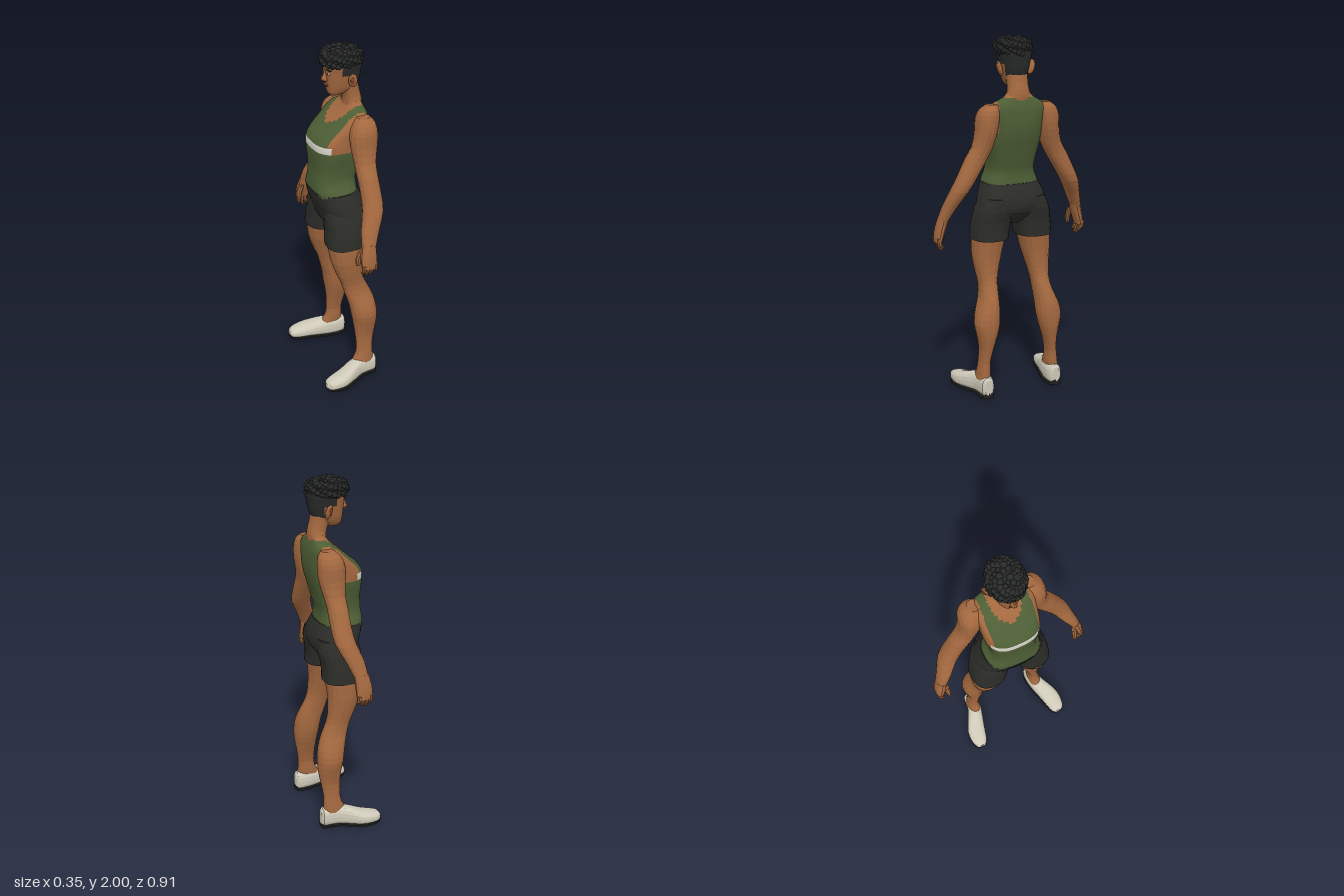
import * as THREE from 'three';
import { mergeGeometries } from 'three/addons/utils/BufferGeometryUtils.js';

const mat = (name, color) => Object.assign(new THREE.MeshStandardMaterial({ color }), { name });
const SKIN = mat('skin', 0xa3683f), GREEN = mat('greenTop', 0x4d5e35), BLACK = mat('shorts', 0x2c2d29);
const HAIR = mat('hair', 0x292a2a), SHOE = mat('shoe', 0xcfcab9), SOLE = mat('sole', 0x20211f);
const WHITE = mat('stripe', 0xd8d5ca), LIP = mat('lips', 0x83482f);

// faceted normals
function facet(g) {
  const f = g.index ? g.toNonIndexed() : g;
  f.computeVertexNormals();
  return f;
}

// smooth interpolation between rows of numbers
function refine(rows, sub) {
  const out = [];
  for (let i = 0; i < rows.length - 1; i++) {
    const p = rows[Math.max(i - 1, 0)], a = rows[i], b = rows[i + 1], q = rows[Math.min(i + 2, rows.length - 1)];
    for (let k = 0; k < sub; k++) {
      const t = k / sub;
      out.push(a.map((v, j) => {
        if (j === 0) return v + (b[0] - v) * t;
        const m0 = (b[j] - p[j]) / (b[0] - p[0]) * (b[0] - v0(a)), m1 = (q[j] - v) / (q[0] - v0(a)) * (b[0] - v0(a));
        const t2 = t * t, t3 = t2 * t;
        return (2 * t3 - 3 * t2 + 1) * v + (t3 - 2 * t2 + t) * m0 + (3 * t2 - 2 * t3) * b[j] + (t3 - t2) * m1;
      }));
    }
  }
  out.push(rows[rows.length - 1]);
  return out;
}
const v0 = (row) => row[0];

// loft of rounded sections; row = [station, min, max, zMin, zMax], station along y or x
function loft(name, rows, material, { axis = 'y', e = 2.2, n = 16, sub = 2, paint } = {}) {
  const sorted = [...rows].sort((a, b) => a[0] - b[0]);
  const pw = (v) => Math.sign(v) * Math.abs(v) ** (2 / e);
  const rings = refine(sorted, sub).map(([s, a0, a1, z0, z1]) => Array.from({ length: n }, (_, i) => {
    const t = ((i + 0.5) / n) * Math.PI * 2;
    const u = (a0 + a1) / 2 + (a1 - a0) / 2 * pw(Math.cos(t));
    const w = (z0 + z1) / 2 + (z1 - z0) / 2 * pw(Math.sin(t)) * (axis === 'x' ? -1 : 1);
    return axis === 'x' ? new THREE.Vector3(s, u, w) : new THREE.Vector3(u, s, w);
  }));
  const mats = [].concat(material), buckets = mats.map(() => []);
  const tri = (m, ...pts) => pts.forEach((p) => buckets[m].push(p.x, p.y, p.z));
  const mid = (pts) => pts.reduce((s, p) => s.add(p), new THREE.Vector3()).divideScalar(pts.length);
  for (let r = 0; r < rings.length - 1; r++) for (let i = 0; i < n; i++) {
    const j = (i + 1) % n, a = rings[r][i], b = rings[r + 1][i], c = rings[r + 1][j], d = rings[r][j];
    const m = paint ? paint(mid([a, b, c, d])) : 0;
    tri(m, a, b, c); tri(m, a, c, d);
  }
  const bottom = rings[0], top = rings[rings.length - 1], cb = mid(bottom), ct = mid(top);
  for (let i = 0; i < n; i++) {
    const j = (i + 1) % n;
    tri(paint ? paint(cb) : 0, cb, bottom[i], bottom[j]);
    tri(paint ? paint(ct) : 0, ct, top[j], top[i]);
  }
  const g = new THREE.BufferGeometry();
  g.setAttribute('position', new THREE.Float32BufferAttribute(buckets.flat(), 3));
  let start = 0;
  buckets.forEach((b, m) => { g.addGroup(start, b.length / 3, m); start += b.length / 3; });
  g.computeVertexNormals();
  const mesh = new THREE.Mesh(g, mats.length > 1 ? mats : mats[0]);
  mesh.name = name;
  return mesh;
}

// symmetric rows [y, x0, x1, halfWidth], and mirrored rows for one side
const sym = (rows) => rows.map(([y, a, b, w]) => [y, a, b, -w, w]);
const side = (rows, s) => rows.map(([y, a, b, z0, z1]) => (s > 0 ? [y, a, b, z0, z1] : [y, a, b, -z1, -z0]));

function blob(name, material, pos, scale, rot = [0, 0, 0], detail = 2) {
  const m = new THREE.Mesh(facet(new THREE.IcosahedronGeometry(1, detail)), material);
  m.position.set(...pos); m.scale.set(...scale); m.rotation.set(...rot); m.name = name;
  return m;
}

function torsoPaint({ x, y, z }) {
  const w = Math.abs(z);
  if (y > 1.68 || (x < 0.1 && (z / 0.085) ** 2 + ((y - 1.685) / 0.1) ** 2 < 1)) return 1; // neckline
  if (y > 1.49 && w > 0.128 && x > -0.1) return 1; // armholes
  if (y > 1.455 && y < 1.492 && w > 0.128 && x > -0.085 && x < 0.11) return 1;
  if (y > 1.455 && y < 1.492 && x < -0.085) return 2; // chest stripe
  return 0;
}

function makeHead() {
  const head = new THREE.Group();
  head.name = 'head';
  head.add(loft('neck', sym([[1.62, 0.03, 0.14, 0.08], [1.68, 0.05, 0.148, 0.072], [1.72, 0.045, 0.145, 0.06],
    [1.76, 0.03, 0.135, 0.058], [1.81, 0.02, 0.125, 0.06]]), SKIN));
  head.add(loft('skull', sym([[1.735, -0.025, 0.04, 0.026], [1.75, -0.038, 0.07, 0.043], [1.78, -0.044, 0.115, 0.06],
    [1.82, -0.049, 0.135, 0.07], [1.87, -0.053, 0.145, 0.079], [1.92, -0.055, 0.15, 0.086], [1.95, -0.03, 0.13, 0.07]]),
  [SKIN, HAIR], { e: 2.4, n: 32, sub: 3,
    paint: ({ x, y }) => (y > 1.905 || (x > 0.075 && y > 1.775) || (x > 0.02 && y > 1.86) ? 1 : 0) }));
  head.add(loft('nose', sym([[1.816, -0.064, -0.03, 0.013], [1.828, -0.078, -0.03, 0.017],
    [1.85, -0.067, -0.03, 0.01], [1.878, -0.057, -0.03, 0.008]]), SKIN, { n: 10 }));
  head.add(blob('lips', LIP, [-0.047, 1.795, 0], [0.009, 0.008, 0.022], [0, 0, 0], 1));
  for (const s of [1, -1]) {
    head.add(blob('eye', WHITE, [-0.046, 1.862, s * 0.03], [0.006, 0.007, 0.013], [0, 0, 0], 1));
    head.add(blob('iris', HAIR, [-0.05, 1.862, s * 0.03], [0.004, 0.006, 0.006], [0, 0, 0], 1));
    head.add(blob('eyebrow', HAIR, [-0.047, 1.884, s * 0.034], [0.007, 0.005, 0.022], [0, s * 0.25, 0], 1));
    head.add(blob('ear', SKIN, [0.062, 1.832, s * 0.093], [0.024, 0.042, 0.014], [s * 0.3, s * -0.45, 0.12]));
    head.add(blob('earHollow', LIP, [0.055, 1.836, s * 0.104], [0.011, 0.022, 0.006], [s * 0.3, s * -0.45, 0.12], 1));
  }
  // curly crown: many small lumps spread over a flattened dome
  const curls = [], count = 150;
  const dome = new THREE.IcosahedronGeometry(1, 3);
  dome.scale(0.105, 0.056, 0.09); dome.translate(0.037, 1.933, 0);
  curls.push(dome);
  for (let i = 0; i < count; i++) {
    const h = 1 - (i + 0.5) / count * 1.45, r = Math.sqrt(1 - h * h), a = i * 2.39996;
    const size = 0.0145 + 0.004 * Math.sin(i * 7.3);
    const c = new THREE.IcosahedronGeometry(size, 1);
    c.scale(1.15, 0.85, 1); c.rotateY(i * 1.7);
    const f = r ** 0.75;
    c.translate(0.037 + 0.106 * f * Math.cos(a), 1.933 + 0.053 * Math.sign(h) * Math.abs(h) ** 0.8, 0.089 * f * Math.sin(a));
    curls.push(c);
  }
  const hair = new THREE.Mesh(facet(mergeGeometries(curls)), HAIR);
  hair.name = 'curlyHair';
  head.add(hair);
  return head;
}

function makeArm(s) {
  const arm = new THREE.Group();
  arm.name = s > 0 ? 'armPlusZ' : 'armMinusZ';
  arm.add(loft('armAndShoulder', side([[1.648, 0.06, 0.13, 0.12, 0.185], [1.62, 0.03, 0.152, 0.115, 0.222],
    [1.57, 0.01, 0.16, 0.115, 0.241], [1.5, 0.01, 0.156, 0.128, 0.245], [1.42, 0.02, 0.138, 0.15, 0.264],
    [1.36, 0.02, 0.13, 0.18, 0.302], [1.27, 0.02, 0.13, 0.235, 0.347], [1.19, 0.01, 0.122, 0.285, 0.385],
    [1.1, -0.02, 0.08, 0.34, 0.417], [1.03, -0.03, 0.05, 0.378, 0.438]], s), SKIN));
  arm.add(loft('palm', side([[1.04, -0.03, 0.05, 0.376, 0.436], [0.98, -0.044, 0.046, 0.393, 0.452],
    [0.93, -0.046, 0.045, 0.412, 0.458], [0.905, -0.04, 0.042, 0.42, 0.457]], s), SKIN, { n: 12 }));
  [-0.033, -0.011, 0.011, 0.033].forEach((x, i) => {
    const tip = [0.872, 0.857, 0.86, 0.876][i];
    arm.add(loft('finger', side([[0.93, x - 0.011, x + 0.011, 0.43, 0.457], [0.895, x - 0.011, x + 0.011, 0.426, 0.452],
      [tip, x - 0.007, x + 0.007, 0.412, 0.43]], s), SKIN, { n: 8 }));
  });
  arm.add(loft('thumb', side([[1.0, -0.042, -0.01, 0.382, 0.415], [0.955, -0.06, -0.025, 0.38, 0.408],
    [0.91, -0.056, -0.034, 0.382, 0.402]], s), SKIN, { n: 8 }));
  return arm;
}

function makeLeg(s) {
  const leg = new THREE.Group();
  leg.name = s > 0 ? 'legPlusZ' : 'legMinusZ';
  leg.add(loft('shortsLeg', side([[0.895, -0.11, 0.116, 0.032, 0.238], [0.95, -0.108, 0.115, 0.022, 0.234],
    [1.0, -0.105, 0.12, 0.014, 0.226], [1.06, -0.105, 0.134, 0.008, 0.212], [1.13, -0.09, 0.13, 0.01, 0.18]], s), BLACK, { n: 20, e: 2.4 }));
  leg.add(loft('bareLeg', side([[0.92, -0.104, 0.105, 0.042, 0.232], [0.8, -0.088, 0.093, 0.07, 0.233],
    [0.7, -0.055, 0.096, 0.098, 0.22], [0.64, -0.03, 0.11, 0.11, 0.213], [0.57, -0.01, 0.143, 0.116, 0.222],
    [0.5, 0.01, 0.166, 0.118, 0.25], [0.43, 0.022, 0.173, 0.122, 0.264], [0.36, 0.034, 0.17, 0.138, 0.252],
    [0.28, 0.043, 0.157, 0.163, 0.238], [0.2, 0.046, 0.145, 0.18, 0.241], [0.15, 0.038, 0.146, 0.178, 0.248],
    [0.1, 0.01, 0.15, 0.18, 0.255]], s), SKIN));
  // shoe, toe pointing to -x and turned slightly outward
  const shoe = [[-0.178, 0.022, 0.05, 0.255, 0.292], [-0.165, 0.012, 0.065, 0.237, 0.311], [-0.12, 0.006, 0.079, 0.221, 0.323],
    [-0.06, 0.006, 0.094, 0.206, 0.32], [0, 0.006, 0.115, 0.188, 0.294], [0.06, 0.006, 0.129, 0.174, 0.264],
    [0.12, 0.006, 0.126, 0.17, 0.254], [0.155, 0.008, 0.122, 0.178, 0.25], [0.166, 0.022, 0.108, 0.193, 0.236]];
  leg.add(loft('shoe', side(shoe, s), SHOE, { axis: 'x', n: 18, e: 2.5 }));
  const sole = shoe.map(([x, y0, , z0, z1], i) => [x, i === 0 ? 0.012 : i === 1 ? 0.004 : 0, Math.max(0.022, y0 + 0.012), z0, z1]);
  leg.add(loft('sole', side(sole, s), SOLE, { axis: 'x', n: 12, e: 4 }));
  return leg;
}

export function createModel() {
  const model = new THREE.Group();
  model.name = 'standingAthlete';
  model.add(loft('torso', sym([[1.16, -0.13, 0.11, 0.155], [1.2, -0.142, 0.102, 0.157], [1.27, -0.138, 0.1, 0.13],
    [1.34, -0.134, 0.118, 0.133], [1.42, -0.14, 0.14, 0.148], [1.455, -0.141, 0.15, 0.152], [1.492, -0.138, 0.158, 0.154],
    [1.53, -0.112, 0.162, 0.156], [1.57, -0.066, 0.162, 0.16], [1.62, -0.008, 0.158, 0.16], [1.65, 0.028, 0.15, 0.138],
    [1.68, 0.055, 0.14, 0.085], [1.7, 0.062, 0.132, 0.066]]), [GREEN, SKIN, WHITE], { e: 2.8, n: 56, sub: 4, paint: torsoPaint }));
  model.add(loft('shortsHips', sym([[0.975, -0.05, 0.06, 0.05], [1.0, -0.08, 0.09, 0.13], [1.05, -0.1, 0.132, 0.2],
    [1.1, -0.117, 0.142, 0.198], [1.15, -0.134, 0.132, 0.182], [1.205, -0.146, 0.107, 0.161]]), BLACK, { n: 28, e: 2.5 }));
  model.add(makeHead());
  for (const s of [1, -1]) model.add(makeArm(s), makeLeg(s));
  return model;
}
